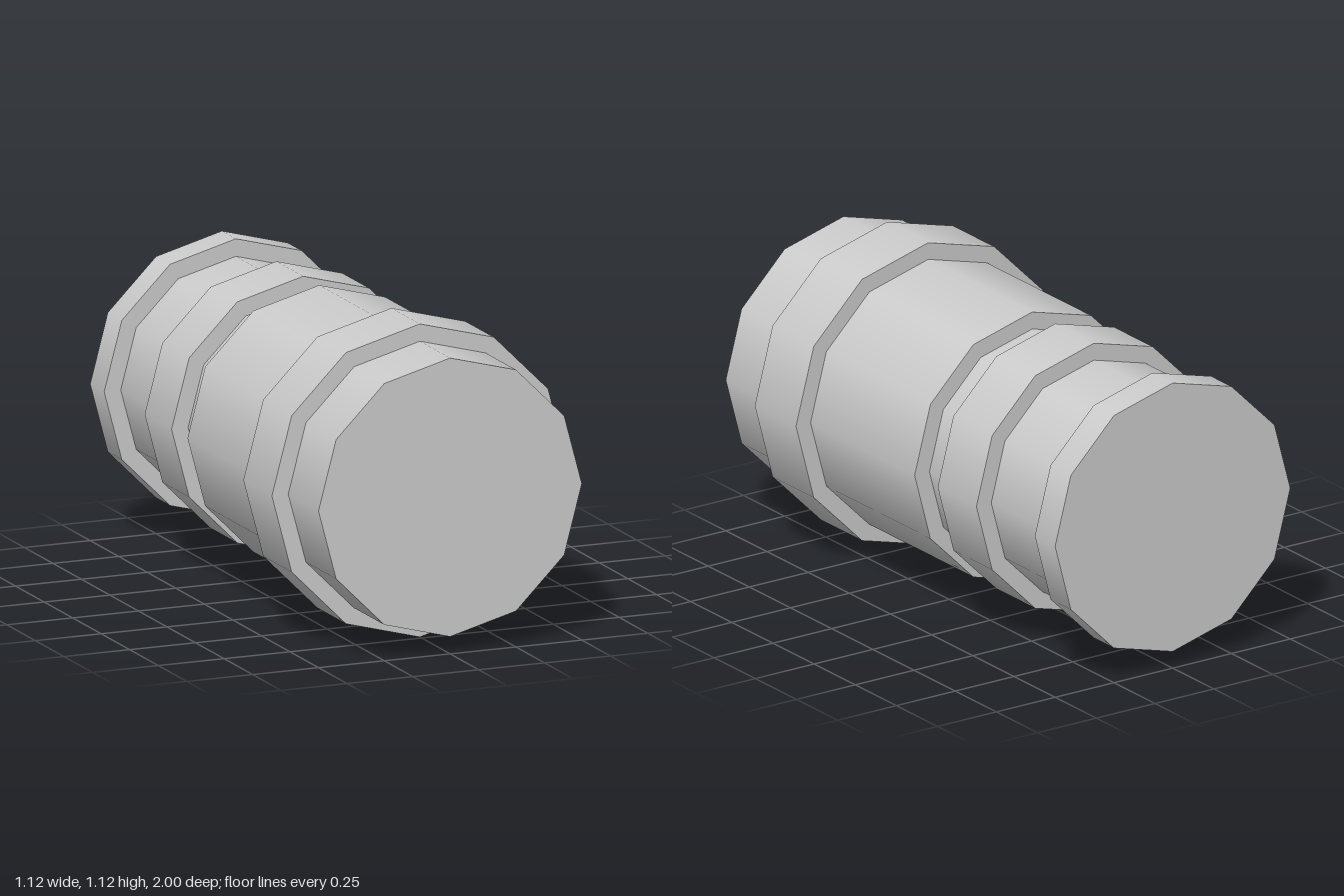
import * as THREE from 'three';

const SIDES = 12;
const AXIS_Y = 0.562;

// Sections along the barrel: name, radius, front z, back z
const SECTIONS = [
  ['frontEnd', 0.5, 1, 0.735],
  ['largeCollar', 0.562, 0.735, 0.485],
  ['mainBarrel', 0.5, 0.485, -0.147],
  ['frontGroove', 0.437, -0.147, -0.287],
  ['middleRing', 0.5, -0.287, -0.522],
  ['rearGroove', 0.437, -0.522, -0.877],
  ['rearFlange', 0.5, -0.877, -1],
];

export function createModel() {
  const group = new THREE.Group();
  group.name = 'steppedBarrel';
  const material = new THREE.MeshStandardMaterial({ color: 0xcccccc });

  // Smooth-sided twelve-sided cylinders with flat caps, laid along z
  for (const [name, radius, front, back] of SECTIONS) {
    const geometry = new THREE.CylinderGeometry(radius, radius, front - back, SIDES);
    geometry.rotateX(Math.PI / 2);
    const mesh = new THREE.Mesh(geometry, material);
    mesh.name = name;
    mesh.position.set(0, AXIS_Y, (front + back) / 2);
    group.add(mesh);
  }
  return group;
}
